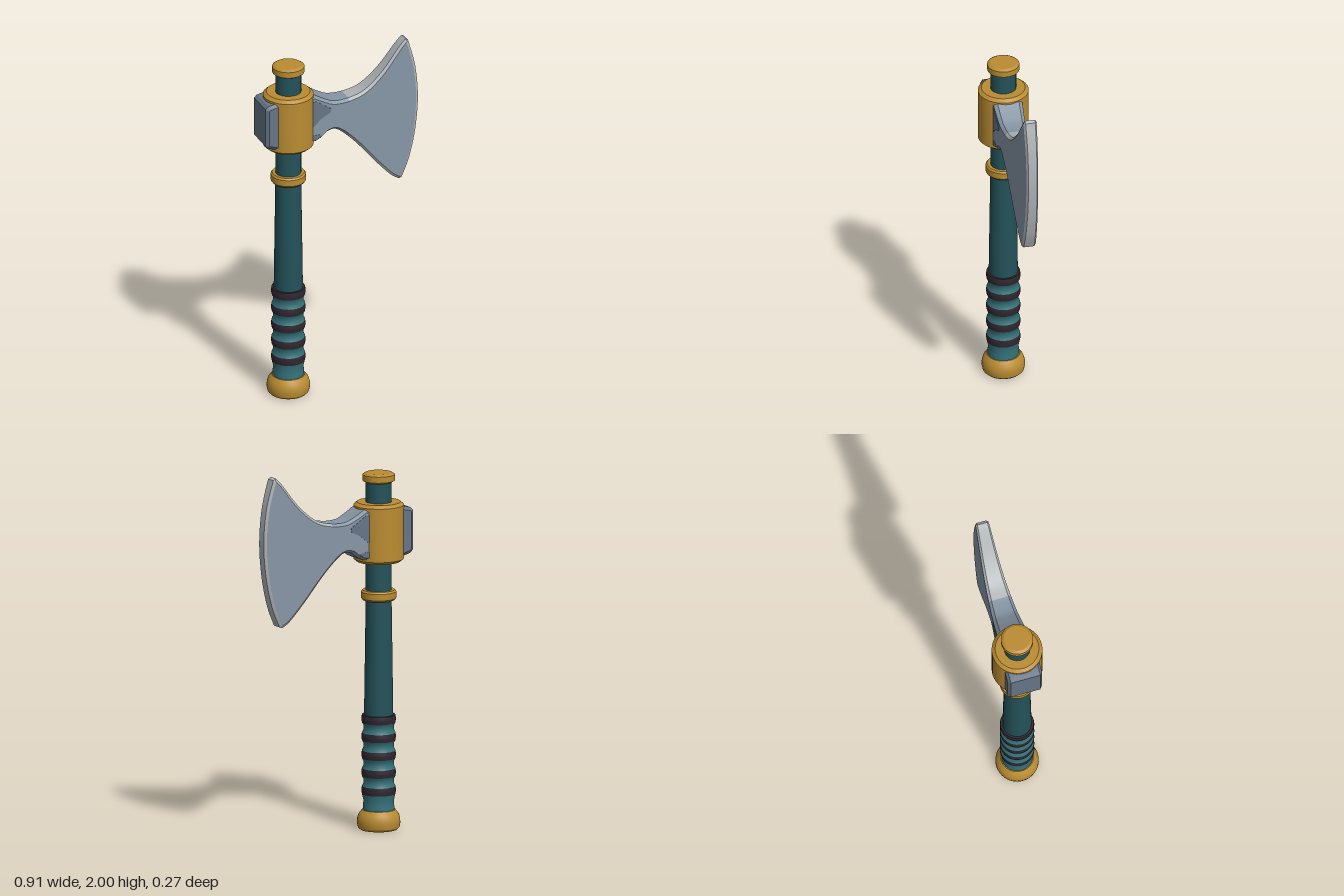
import * as THREE from 'three';
import { toCreasedNormals } from 'three/addons/utils/BufferGeometryUtils.js';

const material = (name, color, extra = {}) => {
  const m = new THREE.MeshStandardMaterial({ color, ...extra });
  m.name = name;
  return m;
};

export function createModel() {
  const gold = material('gold', 0xba8c32);
  const shaftTeal = material('shaftTeal', 0x235259);
  const gripTeal = material('gripTeal', 0x34727a);
  const bandDark = material('bandDark', 0x30262f);
  const steel = material('steel', 0x8796a5);
  const edgeSteel = material('edgeSteel', 0xb0b5b8);
  const darkSteel = material('darkSteel', 0x667586);

  const model = new THREE.Group();
  model.name = 'axe';
  const axisX = -0.29;

  const add = (name, geometry, mat) => {
    const mesh = new THREE.Mesh(geometry, mat);
    mesh.name = name;
    model.add(mesh);
    return mesh;
  };

  // Turned part around the handle axis; profile is [radius, y] from bottom to top
  const turned = (name, profile, mat) => {
    const points = profile.map(([r, y]) => new THREE.Vector2(r, y));
    const mesh = add(name, toCreasedNormals(new THREE.LatheGeometry(points, 40), 0.5), mat);
    mesh.position.x = axisX;
  };

  // Ring or cap with chamfered rims
  const chamfered = (name, r, y0, y1, c, h, mat) =>
    turned(name, [[0, y0], [r - c, y0], [r, y0 + h], [r, y1 - h], [r - c, y1], [0, y1]], mat);

  // Handle
  turned('pommel', [[0, 0], [0.1, 0], [0.112, 0.012], [0.117, 0.035], [0.116, 0.06],
    [0.108, 0.085], [0.09, 0.108], [0, 0.11]], gold);
  turned('shaft', [[0, 0.1], [0.074, 0.1], [0.079, 0.62], [0.07, 1.27], [0.07, 1.92], [0, 1.92]], shaftTeal);
  chamfered('shaftRing', 0.095, 1.26, 1.315, 0.008, 0.01, gold);
  chamfered('topCap', 0.087, 1.905, 1.958, 0.016, 0.01, gold);
  chamfered('collar', 0.137, 1.472, 1.798, 0.019, 0.016, gold);

  // Grip: dark bands with waisted wraps between them
  let below = 0.1;
  for (let i = 0; i < 5; i++) {
    const y = 0.194 + i * 0.098, h = 0.043;
    const middle = (below + y) / 2, first = i === 0;
    turned('gripWrap', [[first ? 0.085 : 0.09, below], [first ? 0.084 : 0.082, middle - 0.012],
      [0.082, middle + 0.012], [0.09, y]], gripTeal);
    turned('gripBand', [[0.07, y], [0.09, y], [0.093, y + h * 0.4], [0.093, y + h * 0.6],
      [0.09, y + h], [0.07, y + h]], bandDark);
    below = y + h;
  }

  // Steel slab whose half thickness in z follows half(x)
  const slab = (shape, half, bevel, bevelDepth) => {
    const g = new THREE.ExtrudeGeometry(shape, {
      depth: 2 - 2 * bevelDepth, curveSegments: 14, bevelEnabled: bevel > 0,
      bevelSize: bevel, bevelOffset: -bevel, bevelThickness: bevelDepth, bevelSegments: 1,
    });
    g.translate(0, 0, bevelDepth - 1);
    const p = g.attributes.position;
    for (let i = 0; i < p.count; i++) p.setZ(i, p.getZ(i) * half(p.getX(i)));
    return toCreasedNormals(g, 0.4);
  };
  const polygon = (pts) => new THREE.Shape(pts.map(([x, y]) => new THREE.Vector2(x, y)));
  const taper = (x) => 0.066 - 0.077 * x;

  // Blade outline: lower sweep, cutting edge, upper sweep
  const v = (pts) => pts.map(([x, y]) => new THREE.Vector2(x, y));
  const outline = new THREE.Shape();
  outline.moveTo(-0.25, 1.495);
  outline.lineTo(-0.155, 1.5);
  outline.splineThru(v([[-0.12, 1.517], [-0.075, 1.548], [-0.02, 1.54], [0.08, 1.447],
    [0.2, 1.305], [0.29, 1.208], [0.34, 1.174]]));
  outline.lineTo(0.355, 1.18);
  outline.splineThru(v([[0.4, 1.29], [0.436, 1.45], [0.452, 1.64], [0.436, 1.83], [0.394, 1.99]]));
  outline.lineTo(0.378, 2.0);
  outline.splineThru(v([[0.34, 1.96], [0.24, 1.835], [0.14, 1.75], [0.05, 1.72], [-0.04, 1.717],
    [-0.1, 1.74], [-0.16, 1.775]]));
  outline.lineTo(-0.25, 1.78);
  const blade = slab(outline, taper, 0.014, 0.25);

  // Rim faces of the flared part take the lighter edge colour
  const [caps, rim] = blade.groups.map((g) => ({ ...g }));
  blade.clearGroups();
  blade.addGroup(caps.start, caps.count, 0);
  const pos = blade.attributes.position;
  for (let i = rim.start; i < rim.start + rim.count; i += 3) {
    const x = (pos.getX(i) + pos.getX(i + 1) + pos.getX(i + 2)) / 3;
    const index = x > 0.04 ? 1 : 0;
    const last = blade.groups[blade.groups.length - 1];
    if (last.materialIndex === index) last.count += 3;
    else blade.addGroup(i, 3, index);
  }
  add('blade', blade, [steel, edgeSteel]);

  // Dark cheek plates on both faces of the blade neck
  const cheekHalf = (x) => taper(x) + 0.002;
  add('upperCheek', slab(polygon([[-0.22, 1.58], [-0.175, 1.597], [-0.13, 1.635], [-0.075, 1.662],
    [-0.07, 1.685], [-0.16, 1.745], [-0.22, 1.745]]), cheekHalf, 0, 0), darkSteel);
  add('lowerCheek', slab(polygon([[-0.22, 1.513], [-0.16, 1.513], [-0.125, 1.532], [-0.14, 1.543],
    [-0.22, 1.548]]), cheekHalf, 0, 0), darkSteel);

  // Hammer block behind the collar
  add('backBlock', slab(polygon([[-0.25, 1.5], [-0.39, 1.5], [-0.44, 1.515], [-0.455, 1.53],
    [-0.455, 1.75], [-0.44, 1.765], [-0.39, 1.777], [-0.25, 1.777]].reverse()),
  () => 0.097, 0.018, 0.15), darkSteel);

  return model;
}
